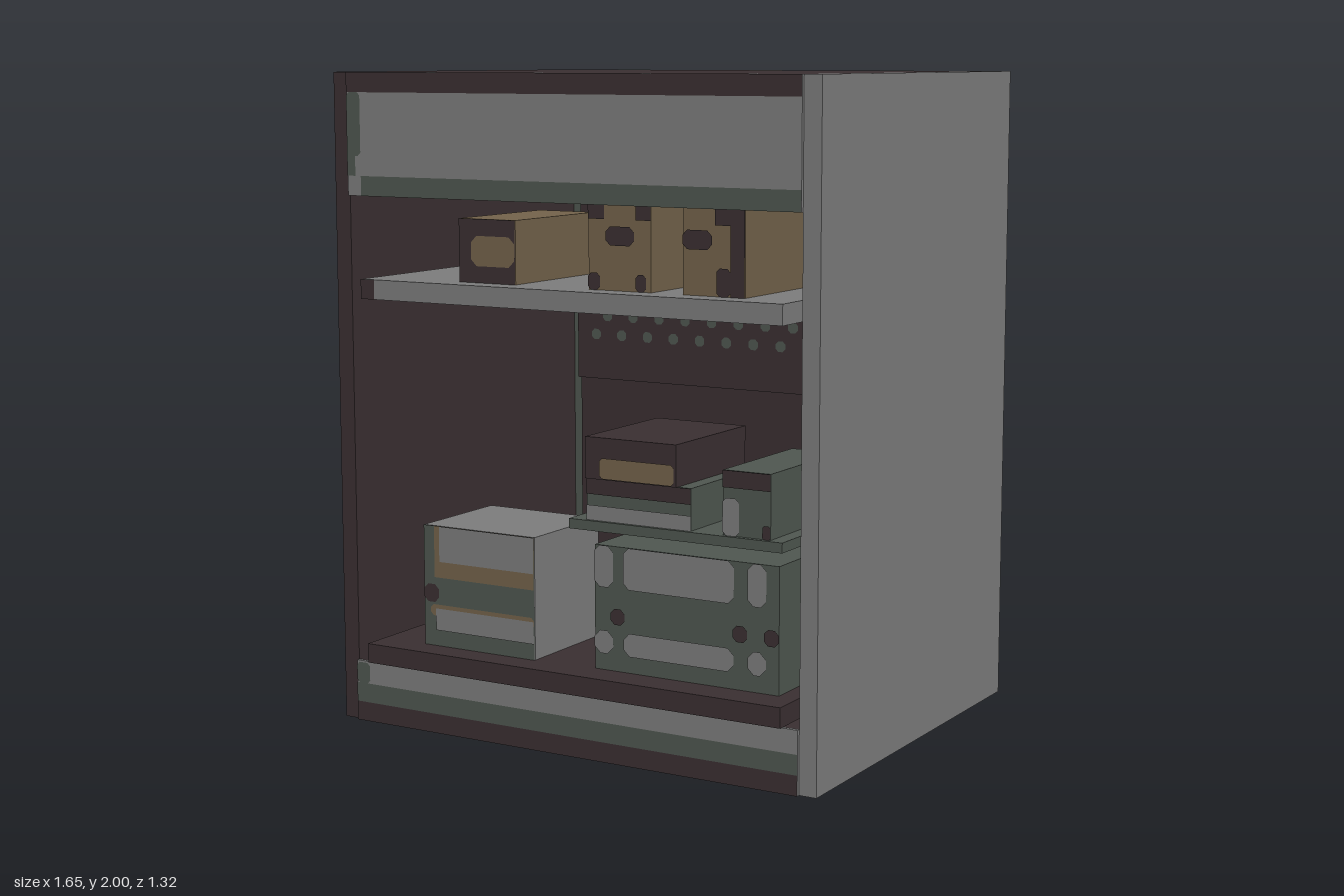
import * as THREE from 'three';

const mat = (name, color) => {
  const m = new THREE.MeshStandardMaterial({ color });
  m.name = name;
  return m;
};

export function createModel() {
  const root = new THREE.Group();
  root.name = 'stockedCabinet';
  const brown = mat('darkBrown', 0x3b3032), gray = mat('gray', 0x7e7e7e);
  const green = mat('grayGreen', 0x505851), tan = mat('tan', 0x75644c);

  // Box given by its limits on each axis
  const box = (name, x0, x1, y0, y1, z0, z1, m, parent = root) => {
    const mesh = new THREE.Mesh(new THREE.BoxGeometry(x1 - x0, y1 - y0, z1 - z0), m);
    mesh.position.set((x0 + x1) / 2, (y0 + y1) / 2, (z0 + z1) / 2);
    mesh.name = name;
    parent.add(mesh);
    return mesh;
  };

  // Flat painted patch facing front, with optional cut corners
  const patch = (name, x0, x1, y0, y1, z, m, c = 0, parent = root) => {
    const pts = c === 0
      ? [[x0, y0], [x1, y0], [x1, y1], [x0, y1]]
      : [[x0 + c, y0], [x1 - c, y0], [x1, y0 + c], [x1, y1 - c],
        [x1 - c, y1], [x0 + c, y1], [x0, y1 - c], [x0, y0 + c]];
    const shape = new THREE.Shape(pts.map(([x, y]) => new THREE.Vector2(x, y)));
    const mesh = new THREE.Mesh(new THREE.ShapeGeometry(shape), m);
    mesh.position.z = z;
    mesh.name = name;
    parent.add(mesh);
  };
  const dot = (name, x, y, r, z, m, parent) =>
    patch(name, x - r, x + r, y - r, y + r, z, m, r * 0.55, parent);
  const group = (name) => {
    const g = new THREE.Group();
    g.name = name;
    root.add(g);
    return g;
  };

  // Cabinet shell
  box('rightSidePanel', -0.825, -0.77, 0, 2, -0.66, 0.64, brown);
  box('leftSidePanel', 0.77, 0.825, 0, 2, -0.66, 0.64, gray);
  box('backPanel', -0.77, 0.77, 0, 2, -0.66, -0.605, green);
  box('topPanel', -0.77, 0.77, 1.945, 2, -0.605, 0.638, brown);
  box('bottomPanel', -0.77, 0.77, 0, 0.06, -0.605, 0.638, brown);

  // Header and kick boards with painted bands
  const zb = 0.652;
  const header = group('header');
  box('headerBoard', -0.77, 0.77, 1.63, 2, 0.638, 0.65, gray, header);
  patch('headerTopBand', -0.77, 0.77, 1.94, 2, zb, brown, 0, header);
  patch('headerLowerBand', -0.72, 0.77, 1.63, 1.69, zb, green, 0, header);
  patch('headerEndBand', -0.77, -0.72, 1.75, 1.94, zb, green, 0.01, header);
  patch('headerEndTaper', -0.77, -0.74, 1.69, 1.76, zb, green, 0, header);
  const kick = group('kickBoard');
  box('kickBoardBody', -0.77, 0.77, 0, 0.19, 0.638, 0.65, gray, kick);
  patch('kickBottomBand', -0.77, 0.77, 0, 0.06, zb, brown, 0, kick);
  patch('kickMiddleBand', -0.77, 0.77, 0.06, 0.12, zb, green, 0, kick);
  patch('kickEndBand', -0.77, -0.72, 0.12, 0.185, zb, green, 0.01, kick);

  // Inner back boards
  box('lowerBackBoard', -0.72, 0.72, 0.25, 0.94, -0.605, -0.57, brown);
  box('pegBoard', -0.72, 0.72, 0.94, 1.25, -0.605, -0.55, brown);
  box('upperBackBoard', -0.72, 0.72, 1.25, 1.945, -0.605, -0.57, brown);

  // Peg holes in two staggered rows
  const holes = group('pegHoles');
  for (let i = 0; i < 14; i++) {
    if (i < 13) dot('pegHole', -0.597 + i * 0.1028, 1.16, 0.018, -0.546, green, holes);
    dot('pegHole', -0.643 + i * 0.1028, 1.095, 0.018, -0.546, green, holes);
  }
  patch('pegSlot', 0.573, 0.597, 1.04, 1.1, -0.545, green, 0, holes);

  // Shelves
  box('bottomShelf', -0.72, 0.72, 0.19, 0.25, -0.605, 0.66, brown);
  box('topShelf', -0.72, 0.72, 1.32, 1.38, -0.605, 0.66, gray);
  patch('topShelfEnd', -0.72, -0.67, 1.32, 1.38, 0.662, brown);
  box('smallShelf', -0.055, 0.66, 0.66, 0.69, -0.605, 0.54, green);

  // Cartons on the top shelf
  const zc = 0.584;
  const small = group('smallCarton');
  box('cartonBody', -0.41, -0.21, 1.38, 1.57, 0.15, 0.58, tan, small);
  patch('cartonFront', -0.41, -0.21, 1.38, 1.57, zc, brown, 0, small);
  patch('cartonLabel', -0.365, -0.21, 1.43, 1.52, zc + 0.003, tan, 0.02, small);
  const middle = group('middleCarton');
  box('cartonBody', 0.045, 0.255, 1.38, 1.72, 0.15, 0.58, tan, middle);
  for (const [a, b] of [[0.045, 0.1], [0.205, 0.255]]) {
    patch('cartonUpperCorner', a, b, 1.585, 1.72, zc, brown, 0, middle);
    patch('cartonLowerCorner', a, b - 0.015, 1.38, 1.43, zc, brown, 0.01, middle);
  }
  patch('cartonWindow', 0.105, 0.2, 1.51, 1.565, zc, brown, 0.015, middle);
  const large = group('endCarton');
  box('cartonBody', 0.36, 0.56, 1.38, 1.72, 0.15, 0.58, tan, large);
  patch('cartonEdge', 0.515, 0.56, 1.38, 1.72, zc, brown, 0, large);
  patch('cartonUpperCorner', 0.465, 0.515, 1.58, 1.72, zc, brown, 0, large);
  patch('cartonLowerCorner', 0.47, 0.515, 1.38, 1.46, zc, brown, 0.01, large);
  patch('cartonWindow', 0.36, 0.455, 1.51, 1.565, zc, brown, 0.015, large);

  // Lower crate with striped front
  const zf = 0.572;
  const crate = group('stripedCrate');
  box('crateBody', -0.565, -0.16, 0.25, 0.625, 0.21, 0.568, gray, crate);
  patch('crateFront', -0.565, -0.16, 0.25, 0.625, zf, green, 0, crate);
  patch('crateUpperTrim', -0.525, -0.16, 0.465, 0.625, zf + 0.002, tan, 0, crate);
  patch('crateUpperStripe', -0.505, -0.16, 0.515, 0.625, zf + 0.004, gray, 0, crate);
  patch('crateLowerTrim', -0.54, -0.16, 0.345, 0.38, zf + 0.002, tan, 0.01, crate);
  patch('crateLowerStripe', -0.52, -0.16, 0.3, 0.368, zf + 0.004, gray, 0, crate);
  dot('crateStud', -0.537, 0.415, 0.028, zf + 0.002, brown, crate);

  // Lower bin with pale panels and dark studs
  const bin = group('storageBin');
  box('binBody', 0.045, 0.66, 0.25, 0.625, 0.1, 0.555, green, bin);
  for (const [a, b] of [[0.045, 0.11], [0.145, 0.515], [0.56, 0.62]]) {
    patch('binUpperPanel', a, b, 0.5, 0.625, 0.559, gray, 0.018, bin);
    patch('binLowerPanel', a, b, 0.3, 0.37, 0.559, gray, 0.02, bin);
  }
  for (const x of [0.125, 0.535, 0.637]) dot('binStud', x, 0.415, 0.024, 0.559, brown, bin);

  // Stacked boxes on the small shelf
  const stack = group('stackedBoxes');
  box('lowerBox', 0, 0.355, 0.69, 0.815, 0.1, 0.525, green, stack);
  patch('lowerBoxBase', 0, 0.355, 0.69, 0.735, 0.529, gray, 0, stack);
  patch('lowerBoxLid', 0, 0.355, 0.768, 0.815, 0.529, brown, 0, stack);
  box('upperBox', 0, 0.31, 0.815, 0.94, 0.12, 0.535, brown, stack);
  patch('upperBoxLabel', 0.05, 0.305, 0.818, 0.88, 0.539, tan, 0.01, stack);

  // Small canister box beside the stack
  const canister = group('canister');
  box('canisterBody', 0.46, 0.615, 0.69, 0.88, 0.1, 0.525, green, canister);
  patch('canisterLid', 0.46, 0.615, 0.83, 0.88, 0.529, brown, 0, canister);
  patch('canisterLabel', 0.46, 0.515, 0.69, 0.8, 0.529, gray, 0.012, canister);
  patch('canisterMark', 0.59, 0.615, 0.69, 0.73, 0.529, brown, 0.005, canister);

  return root;
}
